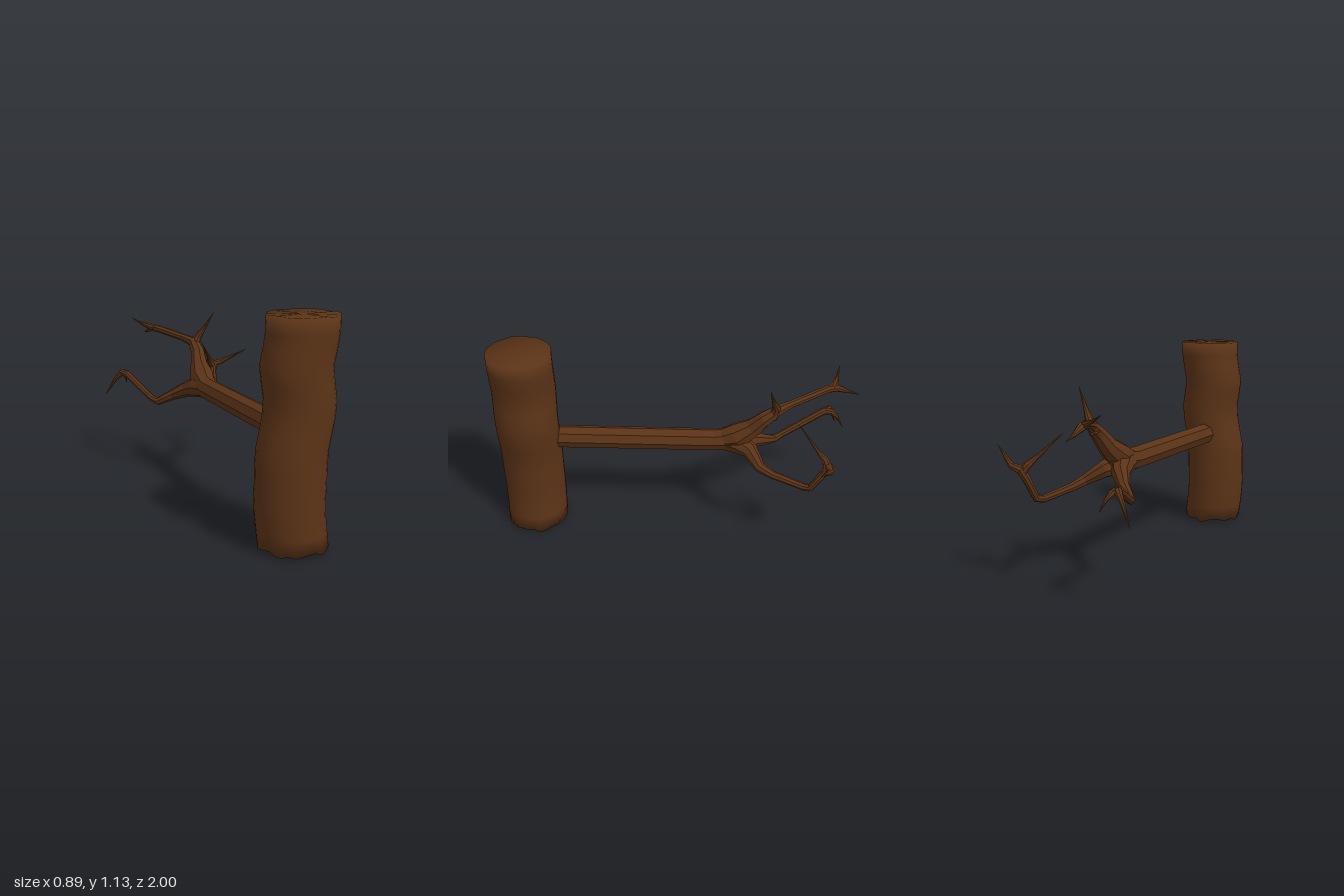
import * as THREE from 'three';
import { mergeVertices } from 'three/addons/utils/BufferGeometryUtils.js';

const V = (x, y, z) => new THREE.Vector3(x, y, z);

// Faceted limb: each station is [x, y, z, radius]; rings sit on the mitre planes
function limb(name, stations, material, sides = 8) {
  const pts = stations.map(s => V(s[0], s[1], s[2]));
  const n = pts.length, pos = [], idx = [];
  const dir = i => pts[i + 1].clone().sub(pts[i]).normalize();
  let up = V(0, 1, 0);
  for (let i = 0; i < n; i++) {
    const t = i === 0 ? dir(0) : i === n - 1 ? dir(n - 2) : dir(i - 1).add(dir(i)).normalize();
    up = up.clone().addScaledVector(t, -up.dot(t)).normalize();
    const side = t.clone().cross(up);
    for (let k = 0; k < sides; k++) {
      const a = (k / sides) * Math.PI * 2, r = stations[i][3];
      const p = pts[i].clone()
        .addScaledVector(up, Math.cos(a) * r)
        .addScaledVector(side, Math.sin(a) * r);
      pos.push(p.x, p.y, p.z);
      if (i < n - 1) {
        const b = i * sides + k, c = i * sides + (k + 1) % sides;
        idx.push(b, c, b + sides, c, c + sides, b + sides);
      }
    }
  }
  // End caps
  for (const [ring, flip] of [[0, true], [n - 1, false]]) {
    const centre = pos.length / 3;
    pos.push(pts[ring].x, pts[ring].y, pts[ring].z);
    for (let k = 0; k < sides; k++) {
      const b = ring * sides + k, c = ring * sides + (k + 1) % sides;
      idx.push(centre, ...(flip ? [c, b] : [b, c]));
    }
  }
  const geo = new THREE.BufferGeometry();
  geo.setAttribute('position', new THREE.Float32BufferAttribute(pos, 3));
  geo.setIndex(idx);
  geo.computeVertexNormals();
  const mesh = new THREE.Mesh(geo, material);
  mesh.name = name;
  return mesh;
}

// Upright log: a lathe bent sideways along a curve, with rough rims and softly shaded ends
function makeLog(material) {
  const R = 0.172, y0 = 0.022, y1 = 1.133, rows = 14;
  const profile = [[0, 0.035]];
  for (let i = 0; i <= rows; i++) profile.push([R, y0 + (y1 - y0) * i / rows]);
  profile.push([0, 1.13]);
  let geo = new THREE.LatheGeometry(profile.map(p => new THREE.Vector2(...p)), 32);
  const bend = new THREE.SplineCurve([
    [-0.018, 0], [-0.03, 0.1], [-0.042, 0.24], [-0.037, 0.37], [-0.036, 0.48], [-0.012, 0.6],
    [0.004, 0.7], [0, 0.78], [-0.018, 0.87], [-0.008, 0.94], [0.01, 1.02], [0.015, 1.14],
  ].map(p => new THREE.Vector2(...p))).getPoints(220);
  const p = geo.attributes.position;
  for (let i = 0; i < p.count; i++) {
    const x = p.getX(i), y = p.getY(i), z = p.getZ(i);
    const a = Math.atan2(z, x), r = Math.hypot(x, z);
    const c = bend.reduce((m, q) => Math.abs(q.y - y) < Math.abs(m.y - y) ? q : m);
    // Chipped rims fade out along the length
    const chip = (Math.sin(5 * a) + Math.sin(9 * a + 1) + 0.6 * Math.sin(14 * a + 2)) * (r / R);
    const low = Math.max(0, 1 - y / 0.1), high = Math.max(0, 1 - (1.15 - y) / 0.08);
    p.setXYZ(i, c.x + x, y + chip * (0.008 * low + 0.002 * high), 0.83 + z);
  }
  geo.deleteAttribute('normal');
  geo.deleteAttribute('uv');
  geo = mergeVertices(geo, 1e-4);
  geo.computeVertexNormals();
  const mesh = new THREE.Mesh(geo, material);
  mesh.name = 'log';
  return mesh;
}

export function createModel() {
  const group = new THREE.Group();
  group.name = 'branchedLog';
  const color = 0x5b3317;
  const bark = new THREE.MeshStandardMaterial({ color });
  const wood = new THREE.MeshStandardMaterial({ color, flatShading: true });
  group.add(makeLog(bark));

  // Long straight bough; the three branches all start inside its far end
  group.add(limb('bough', [[-0.03, 0.573, 0.72, 0.063], [-0.03, 0.573, -0.2, 0.062],
    [-0.025, 0.585, -0.33, 0.066], [-0.02, 0.595, -0.385, 0.046], [-0.02, 0.6, -0.405, 0.015]], wood));
  const root = [-0.03, 0.573, -0.23, 0.054];

  const limbs = {
    // Upper branch with a twig at its elbow and a forked tip
    upperBranch: [root, [-0.02, 0.612, -0.335, 0.074], [-0.008, 0.675, -0.415, 0.053], [0.006, 0.745, -0.475, 0.042],
      [0.004, 0.797, -0.54, 0.031], [-0.03, 0.815, -0.61, 0.022], [-0.135, 0.852, -0.82, 0.022],
      [-0.153, 0.848, -0.87, 0.021], [-0.158, 0.825, -0.93, 0.01], [-0.16, 0.803, -1, 0.001]],
    upperElbowTwig: [[0, 0.755, -0.515, 0.032], [0.025, 0.825, -0.53, 0.022], [0.06, 0.88, -0.51, 0.012], [0.115, 0.98, -0.485, 0.001]],
    upperTipTwig: [[-0.14, 0.85, -0.84, 0.021], [-0.18, 0.865, -0.86, 0.017], [-0.215, 0.88, -0.872, 0.009], [-0.275, 0.917, -0.89, 0.001]],
    // Branch on the model's right
    rightBranch: [root, [-0.045, 0.568, -0.33, 0.065], [-0.085, 0.54, -0.415, 0.048], [-0.15, 0.495, -0.49, 0.032],
      [-0.225, 0.447, -0.55, 0.024], [-0.25, 0.458, -0.59, 0.02], [-0.33, 0.57, -0.83, 0.021],
      [-0.352, 0.578, -0.875, 0.021], [-0.39, 0.53, -0.9, 0.012], [-0.445, 0.432, -0.93, 0.001]],
    rightTipTwig: [[-0.335, 0.575, -0.85, 0.021], [-0.33, 0.572, -0.89, 0.018], [-0.318, 0.545, -0.92, 0.01], [-0.3, 0.49, -0.955, 0.001]],
    // Branch on the model's left
    leftBranch: [root, [-0.015, 0.568, -0.33, 0.063], [0.03, 0.545, -0.4, 0.047], [0.11, 0.49, -0.455, 0.03],
      [0.14, 0.465, -0.52, 0.023], [0.2, 0.432, -0.69, 0.02], [0.217, 0.44, -0.725, 0.02],
      [0.23, 0.55, -0.785, 0.022], [0.242, 0.598, -0.808, 0.026], [0.3, 0.612, -0.808, 0.017], [0.445, 0.694, -0.735, 0.001]],
    leftTipTwig: [[0.245, 0.58, -0.803, 0.025], [0.215, 0.622, -0.79, 0.02], [0.185, 0.66, -0.75, 0.011], [0.1, 0.77, -0.648, 0.001]],
  };
  for (const [name, stations] of Object.entries(limbs)) group.add(limb(name, stations, wood));
  return group;
}
